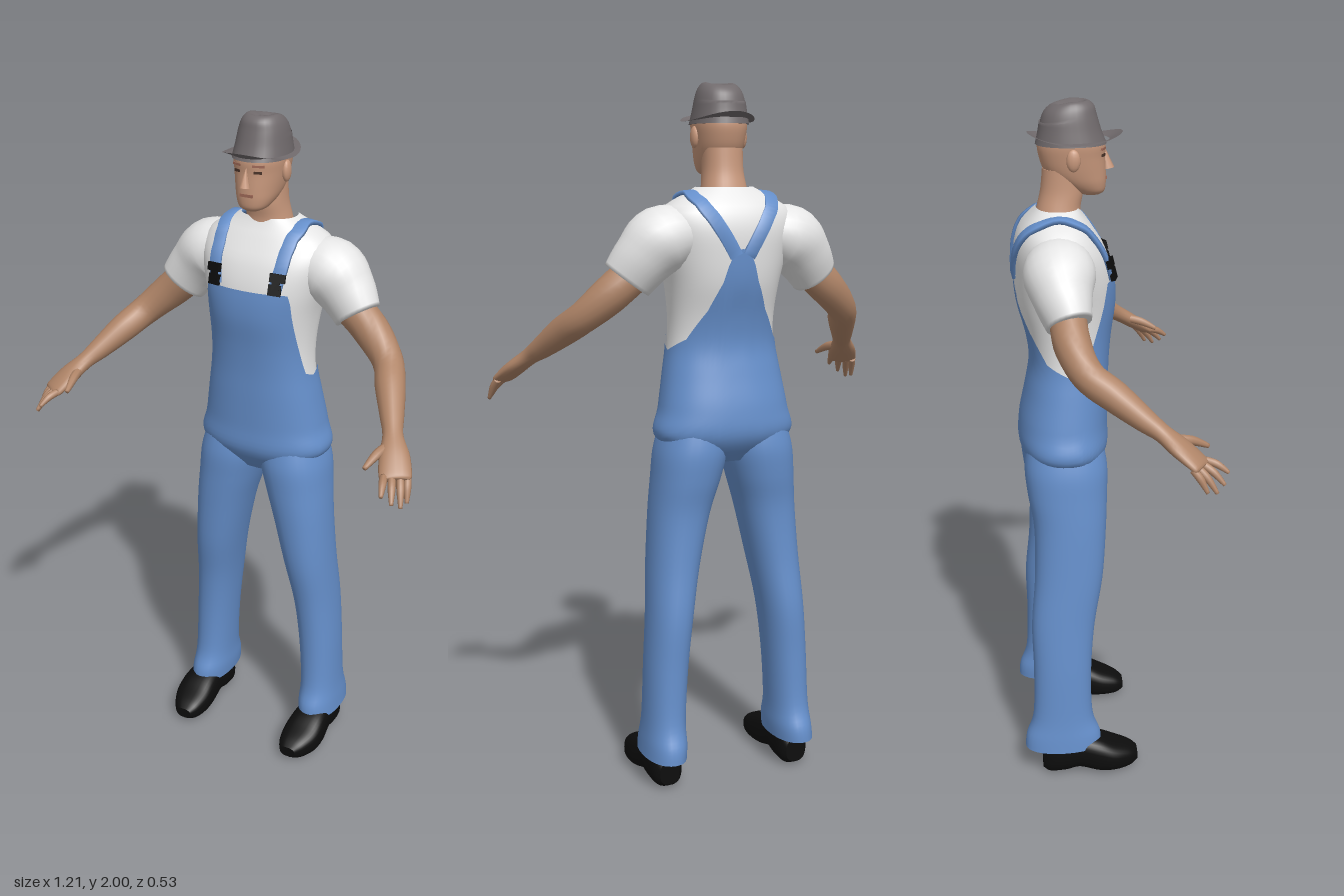
import * as THREE from 'three';

const mat = (name, color, side = THREE.FrontSide) => {
  const m = new THREE.MeshStandardMaterial({ color, side });
  m.name = name;
  return m;
};

// Catmull-Rom through rows of numbers, n steps per span
function spline(rows, n = 5) {
  const out = [], last = rows.length - 1;
  for (let i = 0; i < last; i++) {
    const a = rows[Math.max(i - 1, 0)], b = rows[i], c = rows[i + 1], d = rows[Math.min(i + 2, last)];
    for (let k = 0; k < n; k++) {
      const t = k / n;
      out.push(b.map((v, j) => {
        const c1 = c[j] - a[j];
        const c2 = 2 * a[j] - 5 * v + 4 * c[j] - d[j];
        const c3 = 3 * (v - c[j]) + d[j] - a[j];
        return v + 0.5 * t * (c1 + t * (c2 + t * c3));
      }));
    }
  }
  out.push(rows[last]);
  return out;
}

// Piecewise linear lookup by the first column
function lookup(rows, y) {
  let i = 0;
  while (i < rows.length - 2 && rows[i + 1][0] < y) i++;
  const a = rows[i], b = rows[i + 1];
  const t = Math.min(Math.max((y - a[0]) / (b[0] - a[0]), 0), 1);
  return a.map((v, j) => v + (b[j] - v) * t);
}

// Surface closed around u: f(angle, row) gives a point
function skin(nu, nv, f) {
  const pos = [], idx = [];
  for (let j = 0; j <= nv; j++)
    for (let i = 0; i < nu; i++) pos.push(...f(i / nu * Math.PI * 2, j));
  for (let j = 0; j < nv; j++)
    for (let i = 0; i < nu; i++) {
      const a = j * nu + i, b = j * nu + (i + 1) % nu;
      idx.push(a, a + nu, b, b, a + nu, b + nu);
    }
  const g = new THREE.BufferGeometry();
  g.setAttribute('position', new THREE.Float32BufferAttribute(pos, 3));
  g.setIndex(idx);
  g.computeVertexNormals();
  return g;
}

const spow = (v, e) => Math.sign(v) * Math.abs(v) ** e;
// Point on a rounded section: row = [y, centre x, half width, front z, back z]
const ring = ([y, cx, rx, zf, zb], a, p, grow = 0) => [
  cx + (rx + grow) * spow(Math.cos(a), 2 / p), y,
  (zf + zb) / 2 + ((zf - zb) / 2 + grow) * spow(Math.sin(a), 2 / p)];

// Stacked sections with flat caps at both ends
function loft(rows, p = 2.2, nu = 32) {
  const r = spline(rows), mid = ([y, cx, , f, b]) => [y, cx, 0, (f + b) / 2, (f + b) / 2];
  const first = r[0], last = r[r.length - 1];
  const all = [mid(first), first, ...r, last, mid(last)];
  return skin(nu, all.length - 1, (a, j) => ring(all[j], a, p));
}

// Limb along a path: point = [x, y, z, radius up, radius across]
function limb(points, s, nu = 16) {
  const r = spline(points).map(q => [q[0] * s, ...q.slice(1)]);
  const last = r.length - 1, V = q => new THREE.Vector3(q[0], q[1], q[2]);
  return skin(nu, last + 2, (a, jj) => {
    const j = Math.min(Math.max(jj - 1, 0), last), k = jj === 0 || jj === last + 2 ? 0 : 1;
    const d = V(r[Math.min(j + 1, last)]).sub(V(r[Math.max(j - 1, 0)])).normalize();
    const e2 = new THREE.Vector3(0, 1, 0).cross(d).normalize(), e1 = d.clone().cross(e2);
    return V(r[j]).addScaledVector(e1, k * r[j][3] * Math.cos(a))
      .addScaledVector(e2, k * r[j][4] * Math.sin(a)).toArray();
  });
}

// Body profile and the top edge of the overalls by angle (-90 back, 90 front)
const body = spline([
  [0.95, 0, 0.1, -0.05, -0.19], [1.02, 0, 0.197, -0.003, -0.243], [1.1, 0, 0.185, 0, -0.245],
  [1.2, 0, 0.168, 0.003, -0.225], [1.28, 0, 0.155, 0.005, -0.212], [1.36, 0, 0.153, 0.012, -0.222],
  [1.45, 0, 0.163, 0.024, -0.245], [1.53, 0, 0.183, 0.02, -0.253], [1.6, 0, 0.2, 0, -0.253],
  [1.65, 0, 0.19, -0.03, -0.24], [1.68, 0, 0.15, -0.05, -0.22], [1.705, 0, 0.1, -0.068, -0.198],
  [1.725, 0, 0.066, -0.072, -0.18]]);
const hemLine = [[-90, 1.55], [-84, 1.54], [-75, 1.46], [-60, 1.38], [-35, 1.3], [0, 1.265],
  [15, 1.28], [32, 1.4], [48, 1.525], [52, 1.53], [90, 1.53]];
const onBody = (y, a, grow = 0) => ring(lookup(body, y), a, 2.3, grow);

// Ribbon lying on the body: path = [y, angle in degrees]
function strapGeometry(s) {
  const path = spline([[1.535, 64], [1.6, 63], [1.65, 60], [1.682, 45], [1.703, 0], [1.682, -46],
    [1.65, -65], [1.6, -76], [1.53, -86]], 4);
  const P = path.map(([y, d]) => {
    const q = onBody(y, d * Math.PI / 180, 0.005);
    return new THREE.Vector3(q[0] * s, q[1], q[2]);
  });
  const rows = P.map((c, i) => {
    const t = P[Math.min(i + 1, P.length - 1)].clone().sub(P[Math.max(i - 1, 0)]).normalize();
    const n = c.clone().sub(new THREE.Vector3(0.08 * s, 1.6, -0.12));
    n.x *= 0.3;
    n.addScaledVector(t, -n.dot(t)).normalize();
    return { c, n, w: t.clone().cross(n).normalize() };
  });
  // Corner order keeps the rectangular section facing outwards
  return skin(4, rows.length - 1, (a, j) => {
    const { c, n, w } = rows[j], k = Math.round(a / (Math.PI / 2));
    const u = [1, -1, -1, 1][k] * 0.018, h = [0.004, 0.004, -0.008, -0.008][k];
    return c.clone().addScaledVector(w, u).addScaledVector(n, h).toArray();
  });
}

export function createModel() {
  const group = new THREE.Group();
  const denim = mat('blue denim', 0x6690cc), cotton = mat('white cotton', 0xe6e6e6);
  const face = mat('face skin', 0xc8987c), arm = mat('arm skin', 0xb08568);
  const black = mat('black leather', 0x0d0d0d), felt = mat('grey felt', 0x706a6c, THREE.DoubleSide);
  const dark = mat('dark brown', 0x4a3328), lip = mat('lip', 0xa06a58);
  const add = (name, geo, m, pos = [0, 0, 0], scale = [1, 1, 1]) => {
    const mesh = new THREE.Mesh(geo, m);
    mesh.name = name;
    mesh.position.set(...pos);
    mesh.scale.set(...scale);
    group.add(mesh);
    return mesh;
  };

  // Shirt and overalls share the body profile
  add('shirt', skin(72, 30, (a, j) => onBody(1.2 + 0.515 * j / 30, a)), cotton);
  add('overalls', skin(72, 36, (a, j) => {
    const fold = Math.asin(Math.sin(a)) * 180 / Math.PI;
    const top = lookup(hemLine, fold)[1];
    return onBody(0.95 + (top - 0.95) * j / 36, a, 0.005);
  }), denim);

  // Head, neck and face
  add('neck', loft([[1.66, 0, 0.075, -0.06, -0.2], [1.71, 0, 0.064, -0.066, -0.188],
    [1.76, 0, 0.057, -0.058, -0.176], [1.82, 0, 0.056, -0.06, -0.17]]), face);
  add('head', loft([[1.747, 0, 0.022, -0.012, -0.06], [1.757, 0, 0.04, 0, -0.085], [1.78, 0, 0.054, 0.004, -0.125],
    [1.81, 0, 0.063, 0.004, -0.162], [1.85, 0, 0.07, 0.002, -0.178], [1.89, 0, 0.074, 0.002, -0.182],
    [1.93, 0, 0.066, -0.02, -0.165]]), face);
  const nose = add('nose', new THREE.ConeGeometry(0.016, 0.055, 8), face, [0, 1.843, 0.006], [0.9, 1, 1.1]);
  nose.rotation.x = -0.15;
  add('mouth', new THREE.BoxGeometry(0.04, 0.008, 0.008), lip, [0, 1.793, 0.001]);

  // Hat: pinched crown lower at the back, brim turned up at front and back
  const crown = loft([[1.885, 0, 0.079, 0.006, -0.188], [1.92, 0, 0.073, -0.008, -0.18], [1.96, 0, 0.066, -0.02, -0.173],
    [1.985, 0, 0.056, -0.028, -0.162], [1.998, 0, 0.04, -0.045, -0.14], [1.99, 0, 0.012, -0.06, -0.12]]);
  const cp = crown.attributes.position;
  for (let i = 0; i < cp.count; i++)
    if (cp.getY(i) > 1.95) cp.setY(i, cp.getY(i) - 0.2 * Math.max(0, -0.09 - cp.getZ(i)));
  crown.computeVertexNormals();
  add('hatCrown', crown, felt);
  add('hatBrim', skin(40, 5, (a, j) => {
    const k = j / 5;
    return [(0.098 - 0.025 * k) * Math.cos(a), 1.892 + 0.024 * (1 - k) * Math.sin(a) ** 2 + 0.004 * k,
      -0.08 + (0.13 - 0.036 * k) * Math.sin(a)];
  }), felt);

  for (const s of [1, -1]) {
    const side = s > 0 ? 'left' : 'right';

    // Face details
    add(side + 'Ear', new THREE.SphereGeometry(1, 12, 10), face, [0.073 * s, 1.85, -0.09], [0.011, 0.03, 0.019]);
    add(side + 'Eye', new THREE.BoxGeometry(0.022, 0.007, 0.008), dark, [0.031 * s, 1.857, -0.007]).rotation.y = 0.35 * s;
    add(side + 'Brow', new THREE.BoxGeometry(0.032, 0.006, 0.008), lip, [0.032 * s, 1.874, -0.007]).rotation.y = 0.35 * s;

    // Straps and buckles
    add(side + 'Strap', strapGeometry(s), denim);
    for (const [y, w, h] of [[1.578, 0.044, 0.024], [1.545, 0.036, 0.03], [1.56, 0.022, 0.04]]) {
      const q = onBody(y, 64 * Math.PI / 180, 0.01);
      const b = add(side + 'Buckle', new THREE.BoxGeometry(w, h, 0.012), black, [q[0] * s, y, q[2]]);
      b.rotation.set(-0.25, 0.3 * s, 0);
    }

    // Trouser leg: [y, inner x, outer x, front z, back z]
    add(side + 'TrouserLeg', loft([
      [0.09, 0.143, 0.265, -0.032, -0.264], [0.13, 0.14, 0.262, -0.036, -0.26], [0.2, 0.14, 0.256, -0.058, -0.238],
      [0.35, 0.13, 0.25, -0.06, -0.233], [0.5, 0.113, 0.24, -0.048, -0.235], [0.65, 0.085, 0.23, -0.022, -0.222],
      [0.8, 0.05, 0.22, -0.01, -0.22], [0.9, 0.02, 0.212, -0.005, -0.235], [0.98, 0, 0.204, -0.003, -0.242],
      [1.05, 0, 0.185, -0.015, -0.232]].map(([y, i, o, f, b]) => [y, s * (i + o) / 2, (o - i) / 2, f, b])), denim);

    // Shoe, lofted heel to toe: [z, centre x, half width, bottom, top]
    add(side + 'Shoe', loft([[-0.212, 0.203, 0.03, 0.012, 0.08], [-0.19, 0.203, 0.045, 0, 0.115],
      [-0.14, 0.204, 0.05, 0.004, 0.125], [-0.1, 0.205, 0.052, 0.014, 0.125], [-0.04, 0.206, 0.06, 0, 0.112],
      [0.01, 0.204, 0.06, 0, 0.088], [0.055, 0.199, 0.045, 0.004, 0.068], [0.08, 0.196, 0.026, 0.016, 0.05]]
      .map(([z, x, w, y0, y1]) => [z, x * s, w, -y0, -y1]), 2.8).rotateX(Math.PI / 2), black);

    // Sleeve, arm and palm
    add(side + 'Sleeve', limb([[0.1, 1.59, -0.135, 0.07, 0.08], [0.19, 1.573, -0.14, 0.094, 0.098],
      [0.245, 1.522, -0.135, 0.084, 0.08], [0.287, 1.465, -0.122, 0.073, 0.06]], s, 24), cotton);
    add(side + 'Arm', limb([[0.25, 1.5, -0.125, 0.055, 0.05], [0.33, 1.43, -0.12, 0.053, 0.05],
      [0.4, 1.365, -0.085, 0.045, 0.043], [0.44, 1.32, -0.02, 0.042, 0.042], [0.48, 1.27, 0.05, 0.032, 0.033],
      [0.505, 1.24, 0.095, 0.024, 0.028], [0.532, 1.207, 0.14, 0.022, 0.041], [0.556, 1.173, 0.183, 0.016, 0.044],
      [0.562, 1.165, 0.193, 0.01, 0.038]], s), arm);

    // Fingers from knuckle to tip, then the thumb
    const fingers = [[0.532, 1.172, 0.203, 0.553, 1.143, 0.262], [0.55, 1.17, 0.192, 0.577, 1.12, 0.248],
      [0.568, 1.168, 0.178, 0.594, 1.105, 0.226], [0.583, 1.168, 0.164, 0.6, 1.11, 0.2],
      [0.505, 1.222, 0.125, 0.483, 1.19, 0.22]];
    fingers.forEach(([x, y, z, X, Y, Z], i) => {
      const r = i === 4 ? 0.013 : 0.0105;
      add(side + (i === 4 ? 'Thumb' : 'Finger' + (i + 1)), limb([[x, y, z, r, r],
        [(x + X) / 2, (y + Y) / 2 + 0.006, (z + Z) / 2, r, r], [X, Y, Z, r * 0.5, r * 0.5]], s, 8), arm);
    });
  }
  return group;
}
